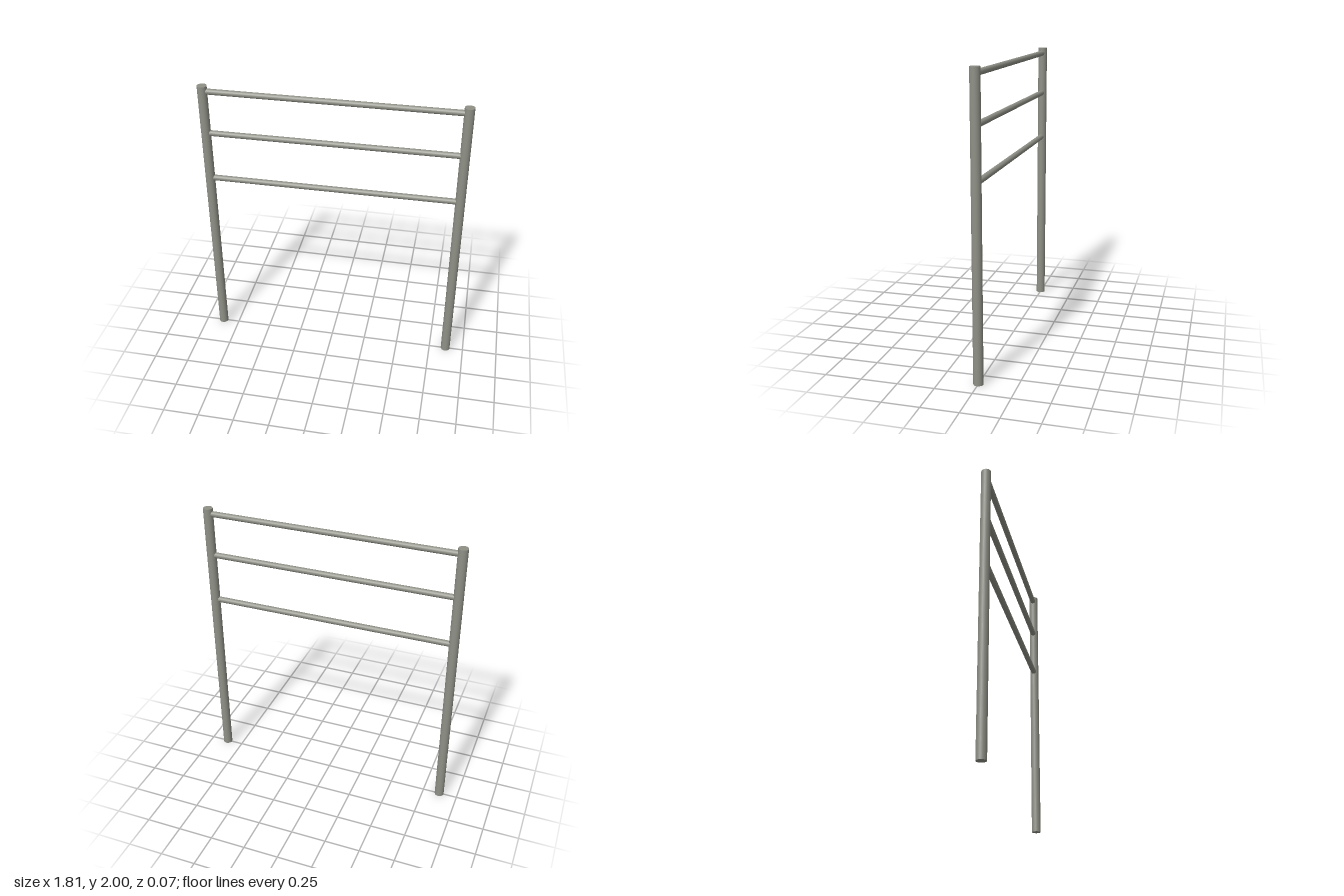
import * as THREE from 'three';

export function createModel() {
  const group = new THREE.Group();
  const metal = new THREE.MeshStandardMaterial({ color: 0x8f9086 });
  const height = 2, postX = 0.87, postRadius = 0.033;
  const railRadius = 0.02, railLength = 1.69;

  // Two upright posts
  const postGeometry = new THREE.CylinderGeometry(postRadius, postRadius, height, 24);
  for (const side of [-1, 1]) {
    const post = new THREE.Mesh(postGeometry, metal);
    post.name = side > 0 ? 'leftPost' : 'rightPost';
    post.position.set(side * postX, height / 2, 0);
    group.add(post);
  }

  // Three horizontal rails that run into the posts
  const railGeometry = new THREE.CylinderGeometry(railRadius, railRadius, railLength, 20);
  railGeometry.rotateZ(Math.PI / 2);
  const rails = { topRail: 1.96, middleRail: 1.655, bottomRail: 1.307 };
  for (const [name, y] of Object.entries(rails)) {
    const rail = new THREE.Mesh(railGeometry, metal);
    rail.name = name;
    rail.position.y = y;
    group.add(rail);
  }

  return group;
}
